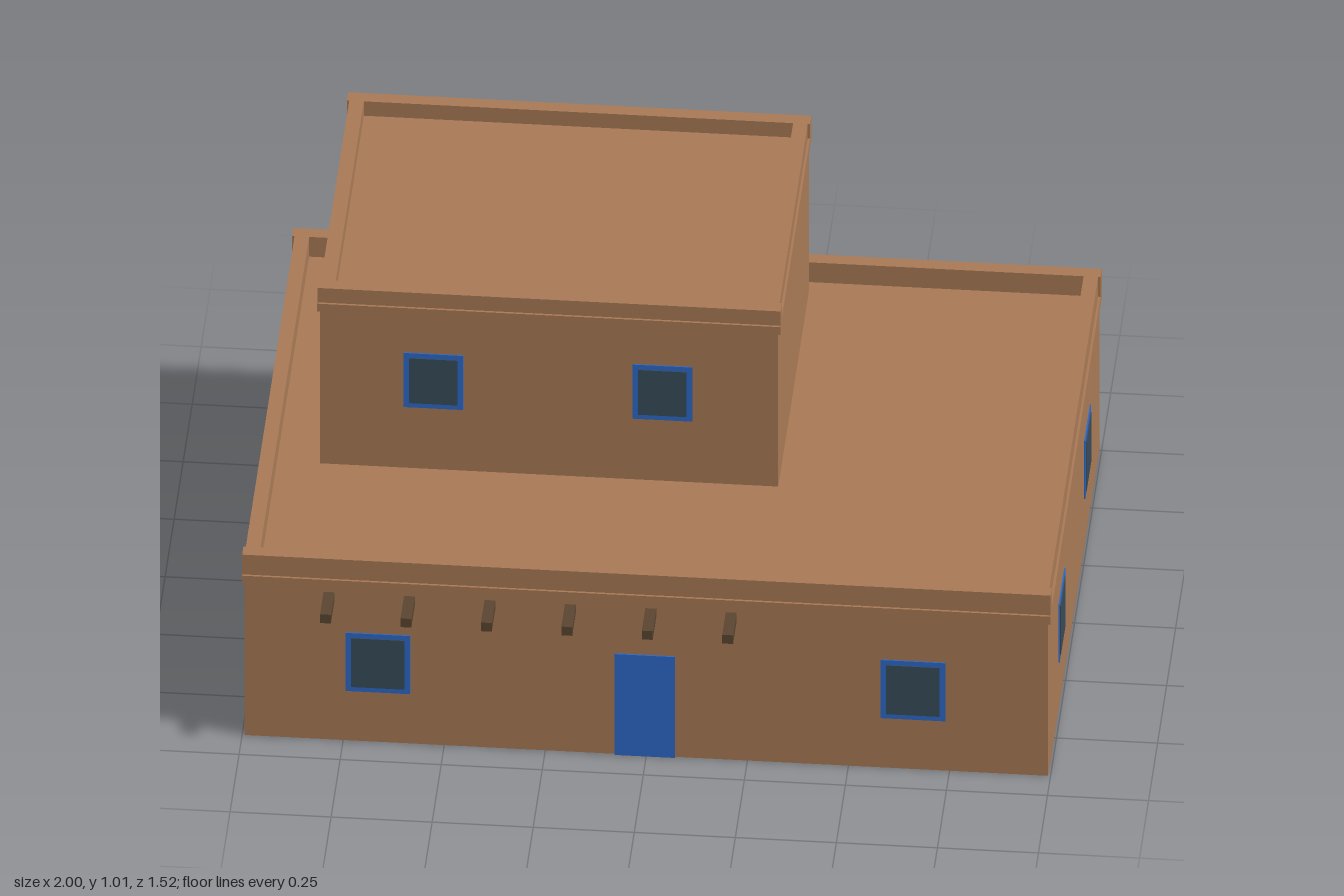
import * as THREE from 'three';

const material = (name, color, side = THREE.FrontSide) => {
  const m = new THREE.MeshStandardMaterial({ color, side });
  m.name = name;
  return m;
};

export function createModel() {
  const adobe = material('adobe', 0xa87855, THREE.DoubleSide);
  const blue = material('bluePaint', 0x2b68c6);
  const glass = material('darkGlass', 0x364b59);
  const wood = material('darkWood', 0x5a4530);

  const house = new THREE.Group();
  house.name = 'adobeHouse';

  // Box given by its lower and upper limits on each axis
  function box(parent, name, mat, [x0, x1], [y0, y1], [z0, z1]) {
    const mesh = new THREE.Mesh(new THREE.BoxGeometry(x1 - x0, y1 - y0, z1 - z0), mat);
    mesh.position.set((x0 + x1) / 2, (y0 + y1) / 2, (z0 + z1) / 2);
    mesh.name = name;
    parent.add(mesh);
    return mesh;
  }

  // One storey: open wall shell, projecting roof slab and parapet
  function storey(name, [x0, x1], [z0, z1], base, slabY, roofY, topY) {
    const group = new THREE.Group();
    group.name = name;
    house.add(group);
    const out = 0.006, thick = 0.036;

    const walls = box(group, 'walls', adobe, [x0, x1], [base, slabY], [z0, z1]);
    // Keep the four sides only, so the shell is open above and below
    const index = Array.from(walls.geometry.index.array);
    walls.geometry.setIndex([...index.slice(0, 12), ...index.slice(24)]);
    walls.geometry.clearGroups();

    box(group, 'roofSlab', adobe, [x0 - out, x1 + out], [slabY, roofY], [z0 - out, z1 + out]);
    const y = [roofY, topY];
    box(group, 'frontParapet', adobe, [x0 - out, x1 + out], y, [z1 - thick, z1]);
    box(group, 'backParapet', adobe, [x0 - out, x1 + out], y, [z0, z0 + thick]);
    box(group, 'leftParapet', adobe, [x1 - thick, x1], y, [z0 + thick, z1 - thick]);
    box(group, 'rightParapet', adobe, [x0, x0 + thick], y, [z0 + thick, z1 - thick]);
  }
  storey('groundFloor', [-0.994, 0.994], [-0.756, 0.665], 0, 0.457, 0.481, 0.54);
  storey('upperFloor', [-0.852, 0.282], [-0.682, 0.169], 0.481, 0.94, 0.963, 1.006);

  // Window: painted frame plate with a glass plate on it, turned to face its wall
  function addWindow(x, y, z, w, h, turn = 0) {
    const group = new THREE.Group();
    group.name = 'window';
    box(group, 'frame', blue, [-w / 2, w / 2], [-h / 2, h / 2], [0.001, 0.004]);
    const a = w / 2 - 0.014, b = h / 2 - 0.014;
    box(group, 'pane', glass, [-a, a], [-b, b], [0.002, 0.006]);
    group.position.set(x, y, z);
    group.rotation.y = turn;
    house.add(group);
  }
  for (const x of [-0.664, 0.66]) addWindow(x, 0.237, 0.665, 0.16, 0.174);
  for (const x of [-0.571, -0.004]) addWindow(x, 0.746, 0.169, 0.148, 0.162);
  for (const side of [-1, 1]) {
    for (const z of [0.311, -0.401]) addWindow(side * 0.994, 0.237, z, 0.16, 0.174, side * Math.PI / 2);
  }

  // Front door
  box(house, 'door', blue, [-0.078, 0.071], [0, 0.302], [0.666, 0.67]);

  // Roof beam ends passing through the front wall
  for (let i = 0; i < 6; i++) {
    const x = -0.785 + i * 0.199;
    box(house, 'roofBeam', wood, [x - 0.0135, x + 0.0135], [0.415, 0.441], [0.645, 0.763]);
  }
  return house;
}
